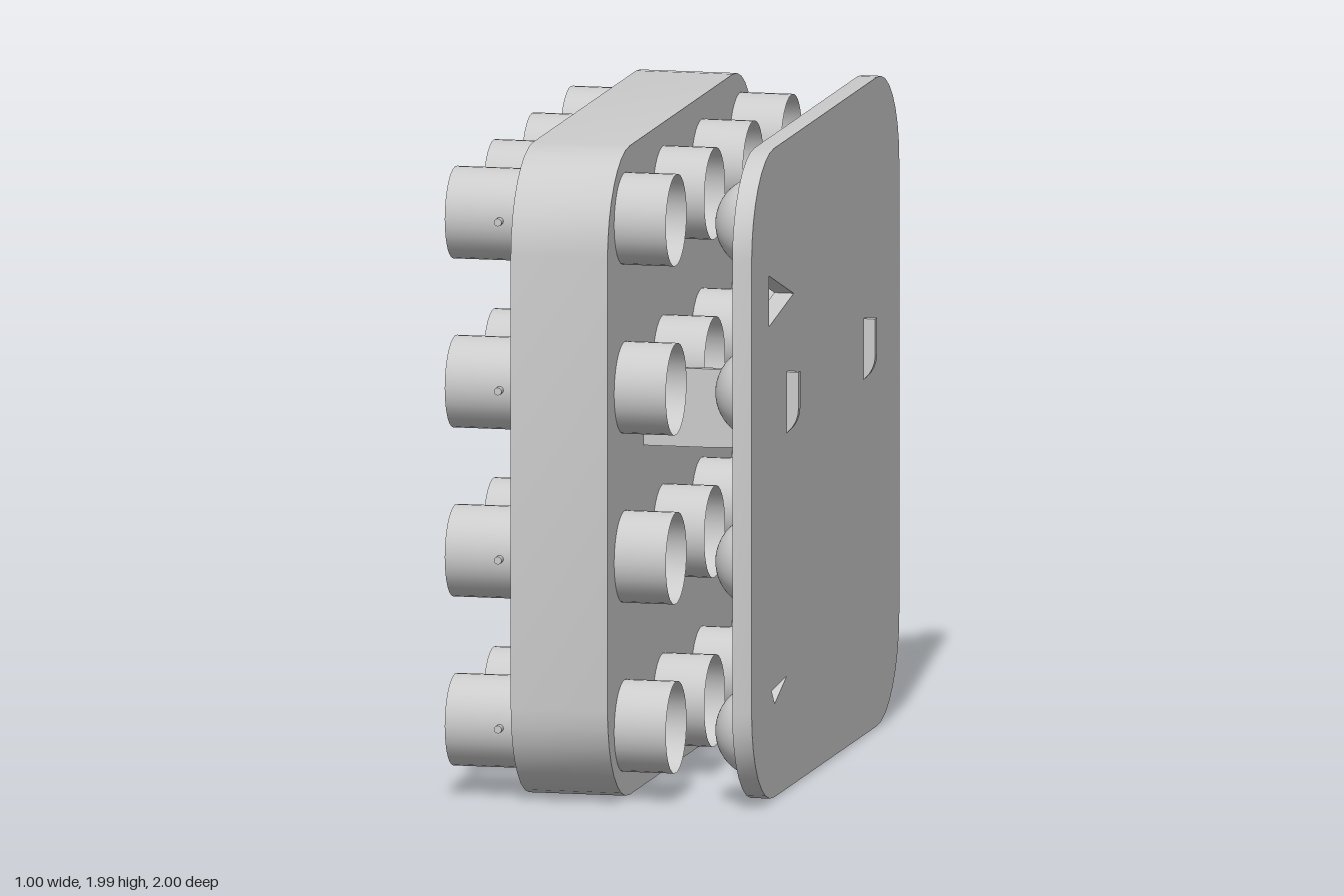
import * as THREE from 'three';
import { toCreasedNormals } from 'three/addons/utils/BufferGeometryUtils.js';

const material = new THREE.MeshStandardMaterial({ color: 0xcccccc });
const thin = new THREE.MeshStandardMaterial({ color: 0xcccccc, side: THREE.DoubleSide });

// Square with rounded corners; shape x runs along -z of the model
function roundedSquare(size, radius, cx, cy) {
  const shape = new THREE.Shape();
  const h = size / 2 - radius;
  [[1, 1], [-1, 1], [-1, -1], [1, -1]].forEach(([sx, sy], i) =>
    shape.absarc(cx + sx * h, cy + sy * h, radius, i * Math.PI / 2, (i + 1) * Math.PI / 2));
  shape.closePath();
  return shape;
}

// Panel extruded along x, starting at x0
function panel(name, shape, x0, depth) {
  let geo = new THREE.ExtrudeGeometry(shape, { depth, bevelEnabled: false, curveSegments: 4 });
  geo.rotateY(Math.PI / 2);
  geo = toCreasedNormals(geo, 0.6);
  const mesh = new THREE.Mesh(geo, material);
  mesh.name = name;
  mesh.position.x = x0;
  return mesh;
}

// Cylinder along x from x0 to x1
function rod(x0, x1, radius, open) {
  const geo = new THREE.CylinderGeometry(radius, radius, x1 - x0, 32, 1, open);
  return geo.rotateZ(Math.PI / 2).translate((x0 + x1) / 2, 0, 0);
}

export function createModel() {
  const group = new THREE.Group();

  // Thick body and thin cover plate
  group.add(panel('body', roundedSquare(1.985, 0.3, -0.0075, 0.9925), -0.28, 0.3));
  const cover = roundedSquare(1.985, 0.3, 0.0075, 0.9975);
  for (const corners of [
    [[-0.75, 1.61], [-0.75, 1.455], [-0.42, 1.505]],
    [[-0.715, 0.335], [-0.675, 0.29], [-0.51, 0.35]],
  ]) {
    cover.holes.push(new THREE.Path(corners.map(([x, y]) => new THREE.Vector2(x, y))));
  }
  group.add(panel('coverPlate', cover, 0.403, 0.06));

  // Grid of studs, pins, open cups and domes
  const parts = {
    stud: [rod(-0.505, -0.27, 0.14, false), material],
    pin: [new THREE.CylinderGeometry(0.012, 0.012, 0.06, 12)
      .rotateX(Math.PI / 2).translate(-0.335, 0, 0.135), material],
    cup: [rod(0.01, 0.18, 0.14, true), thin],
    dome: [new THREE.SphereGeometry(0.145, 32, 14, 0, Math.PI * 2, 0, Math.PI / 2)
      .rotateZ(Math.PI / 2).translate(0.45, 0, 0), material],
  };
  for (let row = 0; row < 4; row++) {
    for (let col = 0; col < 4; col++) {
      for (const [name, [geo, mat]] of Object.entries(parts)) {
        const mesh = new THREE.Mesh(geo, mat);
        mesh.name = name;
        mesh.position.set(0, 0.223 + row * 0.517, -0.78 + col * 0.517);
        group.add(mesh);
      }
    }
  }

  // Two curved brackets reaching through the cover
  const profile = new THREE.Shape();
  profile.moveTo(0, 1.28);
  profile.lineTo(0, 1.04);
  profile.lineTo(0.22, 1.04);
  profile.bezierCurveTo(0.4, 1.04, 0.5, 1.08, 0.5, 1.17);
  profile.lineTo(0.5, 1.28);
  const bracketGeo = new THREE.ExtrudeGeometry(profile, { depth: 0.026, bevelEnabled: false });
  for (const z of [-0.542, 0.49]) {
    const bracket = new THREE.Mesh(bracketGeo, material);
    bracket.name = 'bracket';
    bracket.position.z = z;
    group.add(bracket);
  }
  return group;
}
